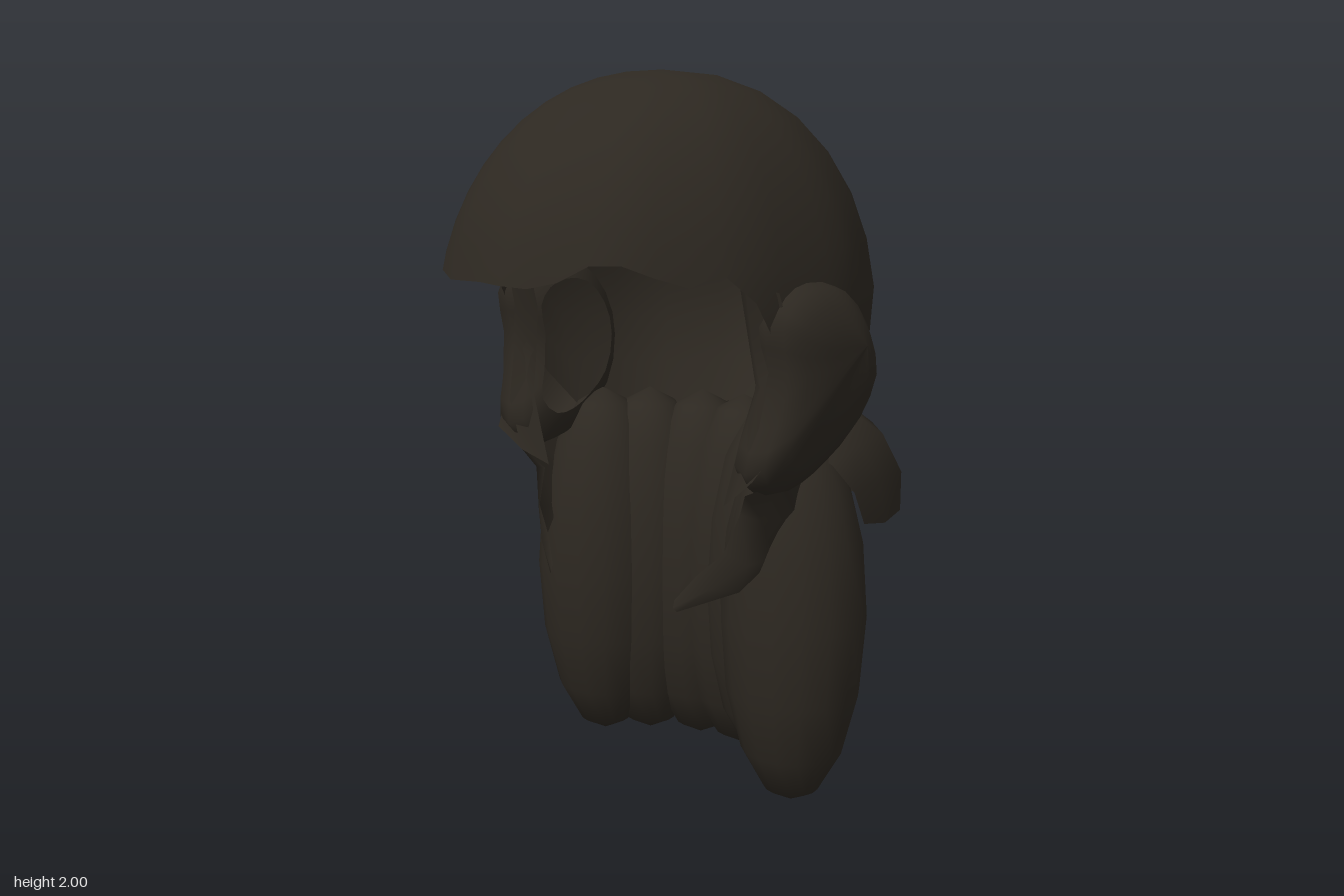
import * as THREE from 'three';

const material = new THREE.MeshStandardMaterial({ color: 0x2d2821, side: THREE.DoubleSide });

// Skin a surface over rows of [x, y, z] points
function loft(name, rows, closed = false) {
  const n = rows[0].length, index = [];
  for (let r = 0; r < rows.length - 1; r++) {
    for (let i = 0; i < (closed ? n : n - 1); i++) {
      const j = (i + 1) % n;
      const a = r * n + i, b = r * n + j, c = a + n, d = b + n;
      index.push(a, c, b, b, c, d);
    }
  }
  const geo = new THREE.BufferGeometry();
  geo.setAttribute('position', new THREE.Float32BufferAttribute(rows.flat(2), 3));
  geo.setIndex(index);
  geo.computeVertexNormals();
  const mesh = new THREE.Mesh(geo, material);
  mesh.name = name;
  return mesh;
}

const mirrored = (rows, s) => rows.map((r) => r.map(([x, y, z]) => [s * x, y, z]));

// Linear lookup in [key, value] pairs
function lookup(table, k) {
  for (let i = 1; i < table.length; i++) {
    const [k0, v0] = table[i - 1], [k1, v1] = table[i];
    if (k <= k1) return v0 + (v1 - v0) * (k - k0) / (k1 - k0);
  }
  return table[table.length - 1][1];
}

// Domed hair cap: long fringe in front, cut away at the face, down to the nape behind
function cap() {
  const rim = [[0, 1.49], [22, 1.48], [30, 1.54], [42, 1.54], [56, 1.48], [67, 1.52],
    [77, 1.4], [86, 1.2], [96, 1.03], [125, 1.0], [180, 1.03]];
  const rows = [], steps = 10, around = 44;
  for (let r = 0; r <= steps; r++) {
    const row = [];
    for (let i = 0; i < around; i++) {
      const deg = i * 360 / around, phi = deg * Math.PI / 180;
      const end = Math.acos((lookup(rim, Math.min(deg, 360 - deg)) - 1.33) / 0.67);
      const t = end * r / steps;
      const wave = 1 + 0.01 * Math.sin(phi * 11) * Math.sin(t);
      const tuck = t > Math.PI / 2 ? 1 - 0.22 * (t - Math.PI / 2) : 1;
      const rad = Math.sin(t), k = wave * tuck;
      row.push([
        0.522 * k * Math.pow(rad, 0.82) * Math.sin(phi),
        1.33 + 0.67 * Math.cos(t),
        0.655 * k * Math.pow(rad, 0.95) * Math.cos(phi),
      ]);
    }
    rows.push(row);
  }
  return loft('hairCap', rows, true);
}

// Ringlets hanging in a U around the back
function ringlets() {
  const group = new THREE.Group();
  group.name = 'ringlets';
  const geo = new THREE.SphereGeometry(1, 16, 8);
  const spots = [[0, -0.342], [0.14, -0.315], [0.28, -0.235], [0.375, -0.132]];
  for (const [x, z] of spots) {
    for (const s of x ? [1, -1] : [1]) {
      const m = new THREE.Mesh(geo, material);
      m.name = 'ringlet';
      m.scale.set(0.203, 0.54, 0.197);
      m.position.set(s * x, 0.54, z);
      group.add(m);
    }
  }
  return group;
}

// Flared two-lobed flap over the top of the ringlets, pinched at the middle
function napeFlap() {
  const half = [
    [[0.43, 1.02, -0.1], [0.44, 1.06, -0.2], [0.4, 1.07, -0.36], [0.3, 1.07, -0.46], [0.15, 1.06, -0.53], [0, 1.05, -0.52]],
    [[0.49, 0.98, -0.14], [0.5, 1.02, -0.24], [0.46, 1.02, -0.4], [0.34, 1.02, -0.51], [0.16, 1.02, -0.56], [0, 1.0, -0.53]],
    [[0.52, 0.9, -0.2], [0.52, 0.92, -0.31], [0.49, 0.91, -0.45], [0.36, 0.9, -0.55], [0.18, 0.9, -0.58], [0, 0.92, -0.54]],
    [[0.51, 0.8, -0.26], [0.52, 0.79, -0.34], [0.49, 0.8, -0.45], [0.41, 0.78, -0.56], [0.27, 0.77, -0.62], [0, 0.79, -0.56]],
  ];
  const rows = half.map((r) => [...r, ...r.slice(0, -1).reverse().map(([x, y, z]) => [-x, y, z])]);
  return loft('napeFlap', rows);
}

// Side bun: outline in (z, y) layered outward into a dome that leans up and back
function bun(s) {
  const outline = [[0.0, 1.48], [0.09, 1.45], [0.14, 1.38], [0.12, 1.26], [0.14, 1.12], [0.17, 1.0],
    [0.1, 0.93], [0.0, 0.94], [-0.1, 0.99], [-0.2, 1.07], [-0.26, 1.22], [-0.22, 1.36], [-0.12, 1.46]];
  const curve = new THREE.CatmullRomCurve3(outline.map(([z, y]) => new THREE.Vector3(0, y, z)), true);
  const loop = curve.getPoints(26).slice(0, -1);
  const layers = [[0.41, 0.7], [0.44, 0.93], [0.49, 1], [0.54, 0.94], [0.575, 0.74], [0.593, 0.4], [0.595, 0]];
  return loft('sideBun', layers.map(([x, k]) => loop.map((p) => {
    const cy = 1.22 + 0.09 * (1 - k), cz = -0.04 - 0.1 * (1 - k);
    const y = cy + (p.y - cy) * k;
    const lean = 0.16 * Math.max(0, 1.22 - y);
    return [s * (x - lean), y, cz + (p.z - cz) * k];
  })), true);
}

// Crumpled strand in front of the bun, ending in a point
function temple(s) {
  return loft('templeStrand', mirrored([
    [[0.4, 1.5, 0.14], [0.45, 1.48, 0.17], [0.51, 1.46, 0.11]],
    [[0.4, 1.34, 0.1], [0.45, 1.33, 0.14], [0.53, 1.36, 0.09]],
    [[0.42, 1.21, 0.09], [0.47, 1.22, 0.13], [0.53, 1.22, 0.08]],
    [[0.4, 1.09, 0.12], [0.46, 1.07, 0.16], [0.52, 1.07, 0.12]],
    [[0.34, 0.89, 0.12], [0.41, 0.93, 0.16], [0.49, 0.99, 0.18]],
  ], s));
}

// Loose tail curling inward below the bun
function tail(s) {
  return loft('looseTail', mirrored([
    [[0.46, 0.98, -0.08], [0.49, 0.97, 0.07], [0.44, 0.94, 0.15]],
    [[0.46, 0.85, -0.04], [0.44, 0.86, 0.08], [0.38, 0.87, 0.1]],
    [[0.42, 0.74, 0.01], [0.41, 0.74, 0.1], [0.36, 0.77, 0.14]],
    [[0.38, 0.66, 0.1], [0.33, 0.67, 0.16], [0.29, 0.7, 0.17]],
    [[0.25, 0.6, 0.2], [0.24, 0.61, 0.205], [0.24, 0.63, 0.2]],
  ], s));
}

export function createModel() {
  const model = new THREE.Group();
  model.name = 'hairstyle';
  model.add(cap(), ringlets(), napeFlap());
  for (const s of [1, -1]) {
    const side = new THREE.Group();
    side.name = s > 0 ? 'leftSide' : 'rightSide';
    side.add(bun(s), temple(s), tail(s));
    model.add(side);
  }
  return model;
}
